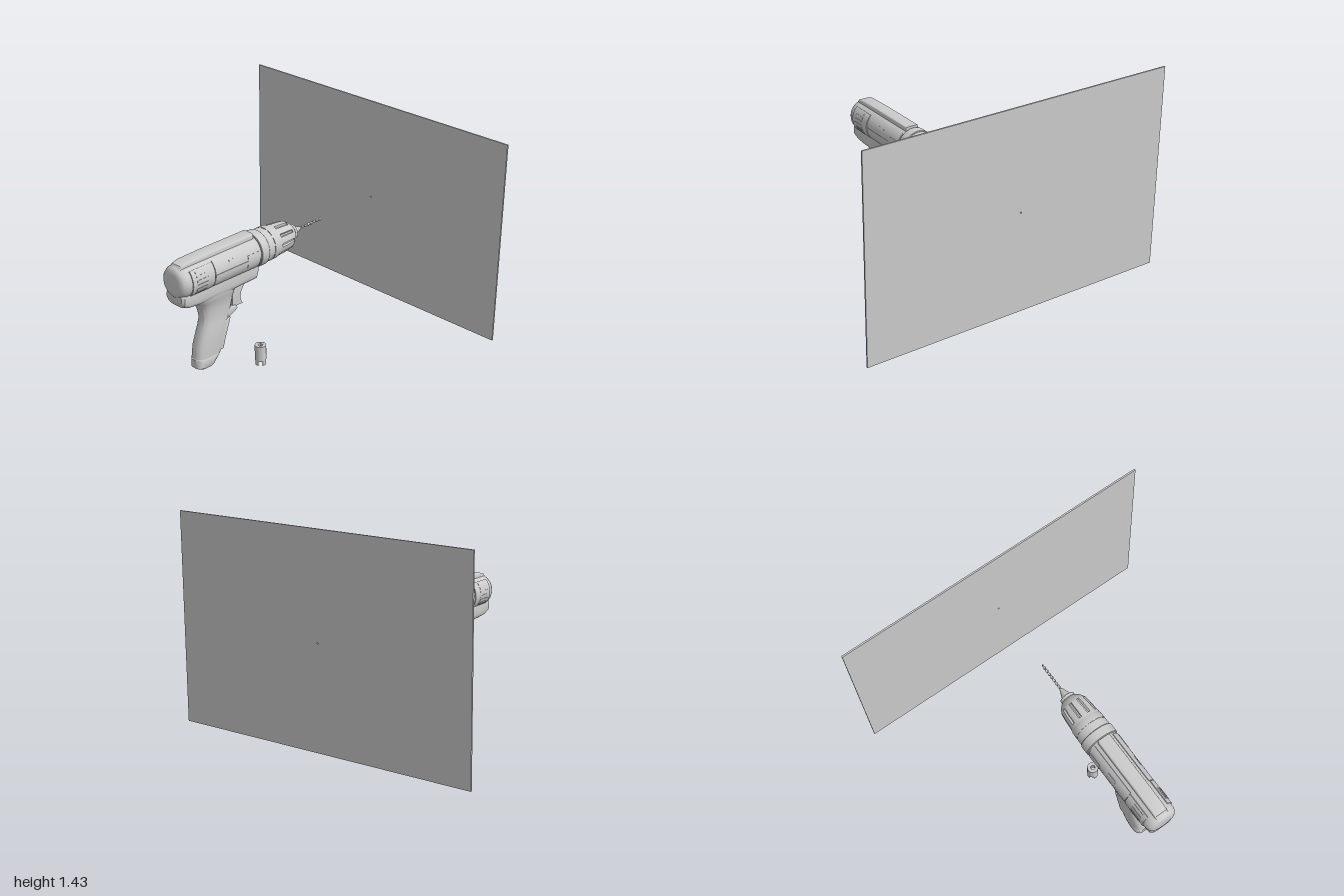
import * as THREE from 'three';
import { toCreasedNormals } from 'three/addons/utils/BufferGeometryUtils.js';

const material = new THREE.MeshStandardMaterial({ color: 0xcccccc });
const AXIS = 0.8; // height of the drill axis

function add(parent, name, geometry) {
  const mesh = new THREE.Mesh(toCreasedNormals(geometry, 0.6), material);
  mesh.name = name;
  parent.add(mesh);
  return mesh;
}

// Skin closed rings of [x, y, z] points and cap both ends
function loft(rings) {
  const n = rings[0].length, pos = rings.flat(2), idx = [];
  for (let i = 0; i < rings.length - 1; i++)
    for (let j = 0; j < n; j++) {
      const a = i * n + j, b = i * n + (j + 1) % n;
      idx.push(a, b, a + n, b, b + n, a + n);
    }
  [0, rings.length - 1].forEach((r, end) => {
    const c = pos.length / 3;
    for (let k = 0; k < 3; k++) pos.push(rings[r].reduce((s, p) => s + p[k], 0) / n);
    for (let j = 0; j < n; j++) {
      const a = r * n + j, b = r * n + (j + 1) % n;
      idx.push(c, end ? a : b, end ? b : a);
    }
  });
  const g = new THREE.BufferGeometry();
  g.setAttribute('position', new THREE.Float32BufferAttribute(pos, 3));
  g.setIndex(idx);
  return g;
}

const ring = (n, fn) => Array.from({ length: n }, (_, j) => fn(j / n * Math.PI * 2));
const round = (v, e) => Math.sign(v) * Math.abs(v) ** (2 / e);

// Rounded sections along z: [z, yLow, yHigh, halfWidth]
const loftZ = (rows, e) => loft(rows.map(([z, lo, hi, w]) => ring(48, t => [
  w * round(Math.cos(t), e), (lo + hi) / 2 + (hi - lo) / 2 * round(Math.sin(t), e), z])));

// Rounded sections along y: [y, zBack, zFront, halfWidth]
const loftY = (rows, e) => loft(rows.map(([y, back, front, w]) => ring(48, t => [
  w * round(Math.cos(t), e), y, (back + front) / 2 - (back - front) / 2 * round(Math.sin(t), e)])));

// Turned part on the drill axis: [z, radius, grooveDepth], with evenly spaced grooves
const turned = (rows, grooves = 10, share = 0.32) => loft(rows.map(([z, r, d = 0]) => ring(120, t => {
  const u = t / (Math.PI * 2) * grooves, inGroove = Math.abs(u - Math.round(u)) < share / 2;
  const q = r - (inGroove ? d : 0);
  return [q * Math.cos(t), AXIS + q * Math.sin(t), z];
})));

// Side outline of [z, y] points extruded across x with rounded edges
function sideExtrude(points, halfWidth, bevel = 0.006) {
  const g = new THREE.ExtrudeGeometry(new THREE.Shape(points.map(p => new THREE.Vector2(...p))), {
    depth: 2 * (halfWidth - bevel), bevelThickness: bevel, bevelSize: bevel,
    bevelOffset: -bevel, bevelSegments: 3 });
  return g.translate(0, 0, bevel - halfWidth).rotateY(-Math.PI / 2);
}

// Piece of a pipe wall around the z axis, angles in degrees
function sector(r0, r1, a0, a1, depth) {
  const s = new THREE.Shape(), k = Math.PI / 180;
  s.absarc(0, 0, r1, a0 * k, a1 * k, false);
  s.absarc(0, 0, r0, a1 * k, a0 * k, true);
  return new THREE.ExtrudeGeometry(s, { depth, bevelEnabled: false, curveSegments: 16 });
}

function disc(r, hole, depth) {
  const s = new THREE.Shape().absarc(0, 0, r, 0, Math.PI * 2, false);
  s.holes.push(new THREE.Path().absarc(0, 0, hole, 0, Math.PI * 2, true));
  return new THREE.ExtrudeGeometry(s, { depth, bevelEnabled: false, curveSegments: 40 });
}

function buildHousing(drill) {
  add(drill, 'motorHousing', turned([[0.23, 0.101], [0.77, 0.101], [0.80, 0.1],
    [0.82, 0.09], [0.831, 0.077], [0.835, 0.055]]));
  add(drill, 'topRidge', sideExtrude([[0.245, 0.85], [0.245, 0.92], [0.6, 0.92], [0.76, 0.916],
    [0.8, 0.905], [0.82, 0.88], [0.82, 0.85]], 0.043, 0.01));
  add(drill, 'lowerHousing', loftZ([[0.22, 0.685, 0.76, 0.05], [0.226, 0.66, 0.76, 0.062],
    [0.242, 0.628, 0.76, 0.07], [0.5, 0.625, 0.76, 0.075], [0.7, 0.63, 0.76, 0.078],
    [0.77, 0.638, 0.76, 0.078], [0.81, 0.655, 0.75, 0.075], [0.825, 0.68, 0.74, 0.062]], 3.5));

  // Side shells with vents and a window plate, the same on both sides
  for (const side of [1, -1]) {
    const piece = (name, r, a0, a1, z0, z1) => {
      const [from, to] = side > 0 ? [a0, a1] : [180 - a1, 180 - a0];
      add(drill, name, sector(0.095, r, from, to, z1 - z0).translate(0, AXIS, z0));
    };
    piece('sideShellUpper', 0.106, 3, 52, 0.25, 0.6);
    piece('sideShellLower', 0.106, -50, 2, 0.25, 0.6);
    piece('ventPanel', 0.107, -50, 48, 0.605, 0.77);
    for (let i = 0; i < 6; i++) piece('ventRib', 0.1095, -37 + i * 14, -30 + i * 14, 0.66, 0.74);
    piece('windowPlate', 0.1085, -22, 20, 0.26, 0.35);
    piece('sideSlot', 0.1085, 26, 32, 0.42, 0.49);
  }
}

function buildGrip(drill) {
  add(drill, 'grip', loftY([[0.258, 0.69, 0.503, 0.053], [0.335, 0.68, 0.477, 0.055],
    [0.425, 0.648, 0.45, 0.055], [0.455, 0.64, 0.435, 0.052], [0.5, 0.63, 0.42, 0.05],
    [0.55, 0.64, 0.405, 0.051], [0.58, 0.652, 0.4, 0.055], [0.61, 0.675, 0.39, 0.062],
    [0.63, 0.705, 0.38, 0.069], [0.66, 0.74, 0.37, 0.073]], 2.8));
  add(drill, 'gripBase', loftY([[0.19, 0.68, 0.567, 0.045], [0.198, 0.692, 0.555, 0.05],
    [0.25, 0.692, 0.507, 0.053], [0.254, 0.688, 0.508, 0.051], [0.26, 0.686, 0.51, 0.05]], 3));
  add(drill, 'gripFrontPad', sideExtrude([[0.437, 0.455], [0.515, 0.455], [0.56, 0.335],
    [0.59, 0.265], [0.498, 0.265], [0.477, 0.335]], 0.05, 0.014));
  add(drill, 'triggerRest', sideExtrude([[0.46, 0.445], [0.437, 0.455], [0.373, 0.487],
    [0.39, 0.51], [0.46, 0.51]], 0.042, 0.008));

  // Trigger with a concave front
  const front = new THREE.QuadraticBezierCurve(new THREE.Vector2(0.31, 0.615),
    new THREE.Vector2(0.365, 0.56), new THREE.Vector2(0.325, 0.497)).getPoints(10);
  add(drill, 'trigger', sideExtrude([[0.41, 0.497], [0.41, 0.64], [0.31, 0.64],
    ...front.map(p => [p.x, p.y])], 0.032, 0.006));
}

function buildChuck(drill) {
  add(drill, 'collar', turned([[0.177, 0.107], [0.181, 0.11], [0.236, 0.11], [0.24, 0.107]]));
  add(drill, 'torqueRing', turned([[0.08, 0.101], [0.084, 0.103], [0.124, 0.104], [0.124, 0.104, 0.004],
    [0.131, 0.104, 0.004], [0.131, 0.104], [0.18, 0.104]], 12, 0.75));
  add(drill, 'chuckSleeve', turned([[-0.098, 0.048], [-0.092, 0.056], [-0.075, 0.073], [-0.05, 0.087],
    [-0.047, 0.088], [-0.047, 0.088, 0.009], [0, 0.094, 0.012], [0.06, 0.098, 0.012],
    [0.06, 0.098], [0.08, 0.1]]));
  add(drill, 'chuckNose', turned([[-0.119, 0.044], [-0.116, 0.047], [-0.09, 0.047]]));
  add(drill, 'chuckJaws', turned([[-0.18, 0.009], [-0.119, 0.032], [-0.11, 0.034]]));

  // Twist bit: a flat oval section turned four times
  const rings = [];
  for (let i = 0; i <= 96; i++) {
    const z = -0.372 + 0.2 * i / 96, a = i / 96 * Math.PI * 8, s = Math.min(1, 0.15 + i / 6);
    rings.push(ring(16, t => {
      const u = 0.0095 * s * Math.cos(t), v = 0.0045 * s * Math.sin(t);
      return [u * Math.cos(a) - v * Math.sin(a), AXIS + u * Math.sin(a) + v * Math.cos(a), z];
    }));
  }
  add(drill, 'drillBit', loft(rings));
}

// Small hollow socket with four prongs at the bottom
function buildSocket() {
  const socket = new THREE.Group();
  socket.name = 'socket';
  const upright = (g, y) => g.rotateX(-Math.PI / 2).translate(0, y, 0);
  add(socket, 'socketWall', upright(disc(0.035, 0.03, 0.1), 0.03));
  add(socket, 'socketTop', upright(disc(0.0345, 0.014, 0.02), 0.109));
  for (let i = 0; i < 4; i++)
    add(socket, 'prong', upright(sector(0.03, 0.035, i * 90 - 22, i * 90 + 22, 0.032), 0));
  socket.position.z = 0.155;
  return socket;
}

// Upright board with a pilot hole in line with the bit
function buildBoard() {
  const s = new THREE.Shape([[-1, -0.635], [1, -0.635], [1, 0.635], [-1, 0.635]]
    .map(p => new THREE.Vector2(...p)));
  s.holes.push(new THREE.Path().absarc(0, 0, 0.005, 0, Math.PI * 2, true));
  return new THREE.ExtrudeGeometry(s, { depth: 0.01, bevelEnabled: false }).translate(0, AXIS, -0.835);
}

export function createModel() {
  const model = new THREE.Group();
  model.name = 'drillAndBoard';
  const drill = new THREE.Group();
  drill.name = 'drill';
  buildHousing(drill);
  buildGrip(drill);
  buildChuck(drill);
  model.add(drill, buildSocket());
  add(model, 'board', buildBoard());
  return model;
}
